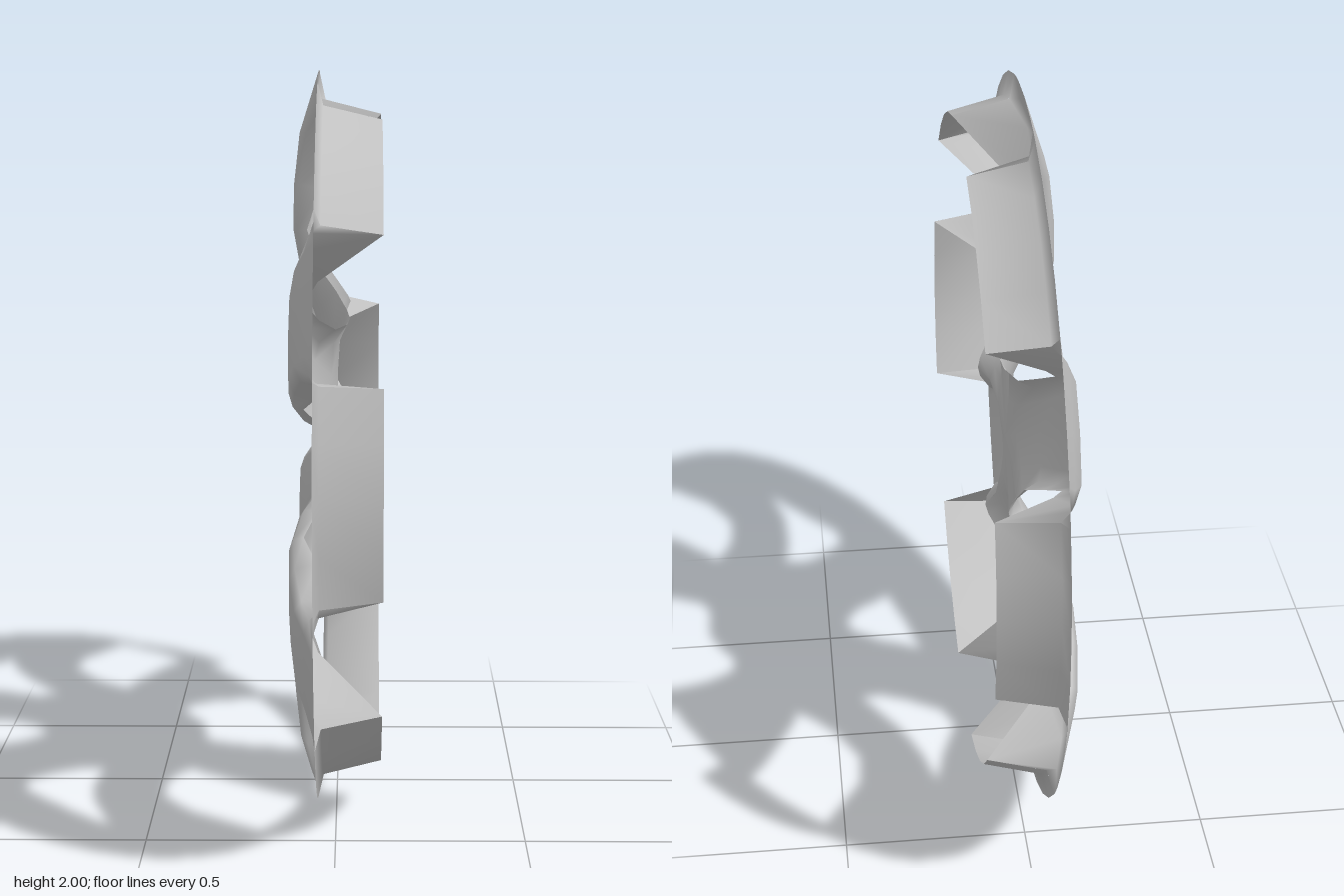
import * as THREE from 'three';
import { mergeGeometries, mergeVertices } from 'three/addons/utils/BufferGeometryUtils.js';

const SECTORS = 6;

// Sheet from rows of equally many [x, y, z] points
function sheet(rows) {
  const n = rows[0].length, index = [];
  for (let i = 0; i < rows.length - 1; i++) {
    for (let j = 0; j < n - 1; j++) {
      const a = i * n + j, b = a + n;
      index.push(a, a + 1, b, a + 1, b + 1, b);
    }
  }
  const g = new THREE.BufferGeometry();
  g.setAttribute('position', new THREE.Float32BufferAttribute(rows.flat(2), 3));
  g.setIndex(index);
  return g;
}

// Half cross-sections of a spoke, hub to rim: centre, shoulder, edge, wall foot.
// Each point is [along spoke, across spoke, depth on x].
const SPOKE = [
  [[0, 0, 0], [0.16, 0.0924, 0], [0.285, 0.1645, 0.008], [0.348, 0.2009, 0.035]],
  [[0.2, 0, -0.012], [0.24, 0.08, -0.015], [0.315, 0.145, -0.008], [0.367, 0.176, 0.028]],
  [[0.33, 0, -0.06], [0.34, 0.085, -0.058], [0.375, 0.122, -0.045], [0.415, 0.142, -0.002]],
  [[0.45, 0, -0.098], [0.45, 0.095, -0.095], [0.46, 0.13, -0.082], [0.475, 0.143, -0.045]],
  [[0.58, 0, -0.12], [0.58, 0.1, -0.118], [0.58, 0.137, -0.107], [0.58, 0.145, -0.08]],
  [[0.7, 0, -0.117], [0.7, 0.11, -0.115], [0.7, 0.148, -0.1], [0.69, 0.157, -0.045]],
  [[0.83, 0, -0.103], [0.83, 0.125, -0.1], [0.84, 0.172, -0.08], [0.874, 0.202, 0.12]],
  [[0.92, 0, -0.075], [0.92, 0.135, -0.073], [0.92, 0.185, -0.06], [0.911, 0.2103, -0.035]],
  [[1, 0, -0.05], [0.992, 0.125, -0.05], [0.983, 0.185, -0.05], [0.9744, 0.225, -0.05]],
];

function spokeGeometry(angle) {
  const c = Math.cos(angle), s = Math.sin(angle);
  const place = ([u, v, x]) => [x, 1 + u * s + v * c, u * c - v * s];
  return sheet(SPOKE.map((half) => [
    ...half.slice(1).reverse().map(([u, v, x]) => place([u, -v, x])),
    ...half.map(place),
  ]));
}

// Lip and inward flange along one window, as [radius, x] profile points
const BAND = [[1, -0.05], [0.935, -0.035], [0.897, 0.12]];

function windowBand(angle) {
  const half = THREE.MathUtils.degToRad(17), steps = 4;
  return sheet(BAND.map(([r, x]) => Array.from({ length: steps + 1 }, (_, i) => {
    const a = angle + half * (2 * i / steps - 1);
    return [x, 1 + r * Math.sin(a), r * Math.cos(a)];
  })));
}

export function createModel() {
  const model = new THREE.Group();
  model.name = 'wheelCover';
  const grey = new THREE.MeshStandardMaterial({ color: 0xc0c0c0, side: THREE.DoubleSide });
  grey.name = 'silver grey';

  const spokes = [], bands = [];
  for (let k = 0; k < SECTORS; k++) {
    const a = k * Math.PI * 2 / SECTORS;
    spokes.push(spokeGeometry(a + Math.PI / 6));
    bands.push(windowBand(a));
  }
  // Weld the repeats so each part shades smoothly
  const add = (name, parts) => {
    const geometry = mergeVertices(mergeGeometries(parts), 1e-3);
    geometry.computeVertexNormals();
    const mesh = new THREE.Mesh(geometry, grey);
    mesh.name = name;
    model.add(mesh);
  };
  add('hubAndSpokes', spokes);
  add('rimBands', bands);
  return model;
}
